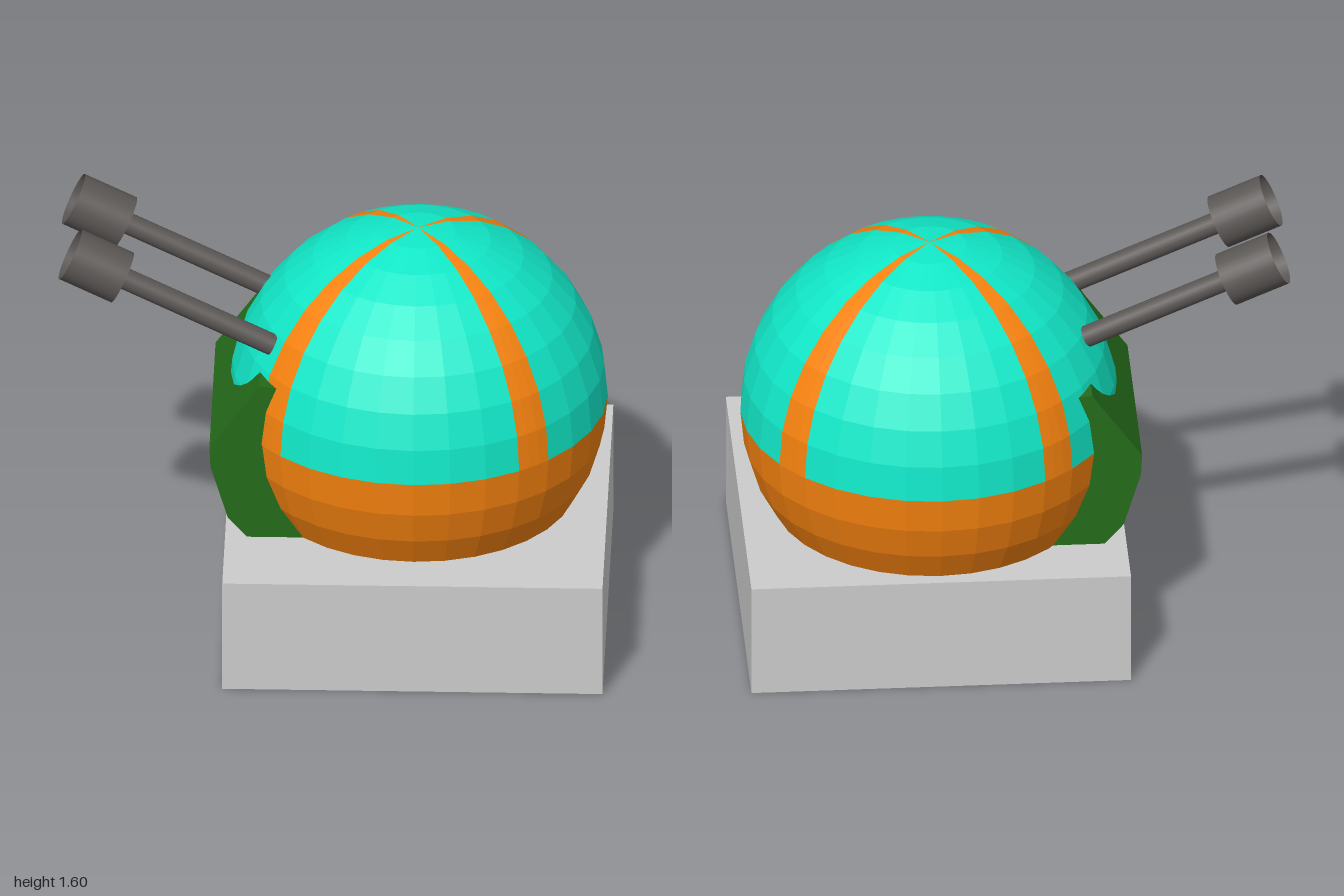
import * as THREE from 'three';

const paint = (color, side = THREE.FrontSide) =>
  new THREE.MeshStandardMaterial({ color, side, flatShading: true });

export function createModel() {
  const model = new THREE.Group();
  const grey = paint(0xcccccc);
  const teal = paint(0x11e8c8);
  const orange = paint(0xf5820f);
  const green = paint(0x246b19);
  const dark = paint(0x5a5654, THREE.DoubleSide);

  const add = (parent, name, geometry, material) => {
    const mesh = new THREE.Mesh(geometry, material);
    mesh.name = name;
    parent.add(mesh);
    return mesh;
  };

  // Square base block
  add(model, 'base', new THREE.BoxGeometry(1.39, 0.44, 1.385), grey).position.set(0.305, 0.22, 0.032);

  // Faceted dome: lower half, then four panels separated by one-segment stripes
  const dome = new THREE.Group();
  dome.name = 'dome';
  dome.position.set(0.305, 0.825, -0.035);
  model.add(dome);
  const R = 0.693, step = Math.PI / 16, half = Math.PI / 2;
  add(dome, 'lowerDome', new THREE.SphereGeometry(R, 32, 8, 0, Math.PI * 2, half, half), orange);
  for (let i = 0; i < 4; i++) {
    const start = 11 * step + i * half;
    add(dome, 'stripe', new THREE.SphereGeometry(R, 1, 8, start, step, 0, half), orange);
    add(dome, 'panel', new THREE.SphereGeometry(R, 7, 8, start + step, 7 * step, 0, half), teal);
  }

  // Angular guard below the barrels
  const profile = new THREE.Shape([
    [-0.05, 0.4], [-0.05, 0.8], [-0.2, 1.06], [-0.265, 1.07], [-0.29, 1.03],
    [-0.447, 0.81], [-0.443, 0.73], [-0.38, 0.52], [-0.31, 0.44], [-0.29, 0.4],
  ].map(([x, y]) => new THREE.Vector2(x, y)));
  const guard = new THREE.ExtrudeGeometry(profile, { depth: 0.79, bevelEnabled: false });
  add(model, 'guard', guard, green).position.z = -0.42;

  // Twin barrels with hollow muzzles, built along local +y then aimed
  const aim = new THREE.Vector3(-0.74, 0.345, -0.04).normalize();
  const smoothDark = dark.clone();
  smoothDark.flatShading = false;
  for (const z of [-0.185, 0.23]) {
    const barrel = new THREE.Group();
    barrel.name = 'barrel';
    barrel.position.set(-0.218, 1.165, z);
    barrel.quaternion.setFromUnitVectors(new THREE.Vector3(0, 1, 0), aim);
    add(barrel, 'tube', new THREE.CylinderGeometry(0.04, 0.04, 0.62, 24), smoothDark).position.y = 0.31;
    add(barrel, 'muzzle', new THREE.CylinderGeometry(0.1, 0.1, 0.21, 32, 1, true), smoothDark).position.y = 0.715;
    const cap = add(barrel, 'muzzleBack', new THREE.CircleGeometry(0.1, 32), smoothDark);
    cap.rotation.x = half;
    cap.position.y = 0.61;
    model.add(barrel);
  }
  return model;
}
